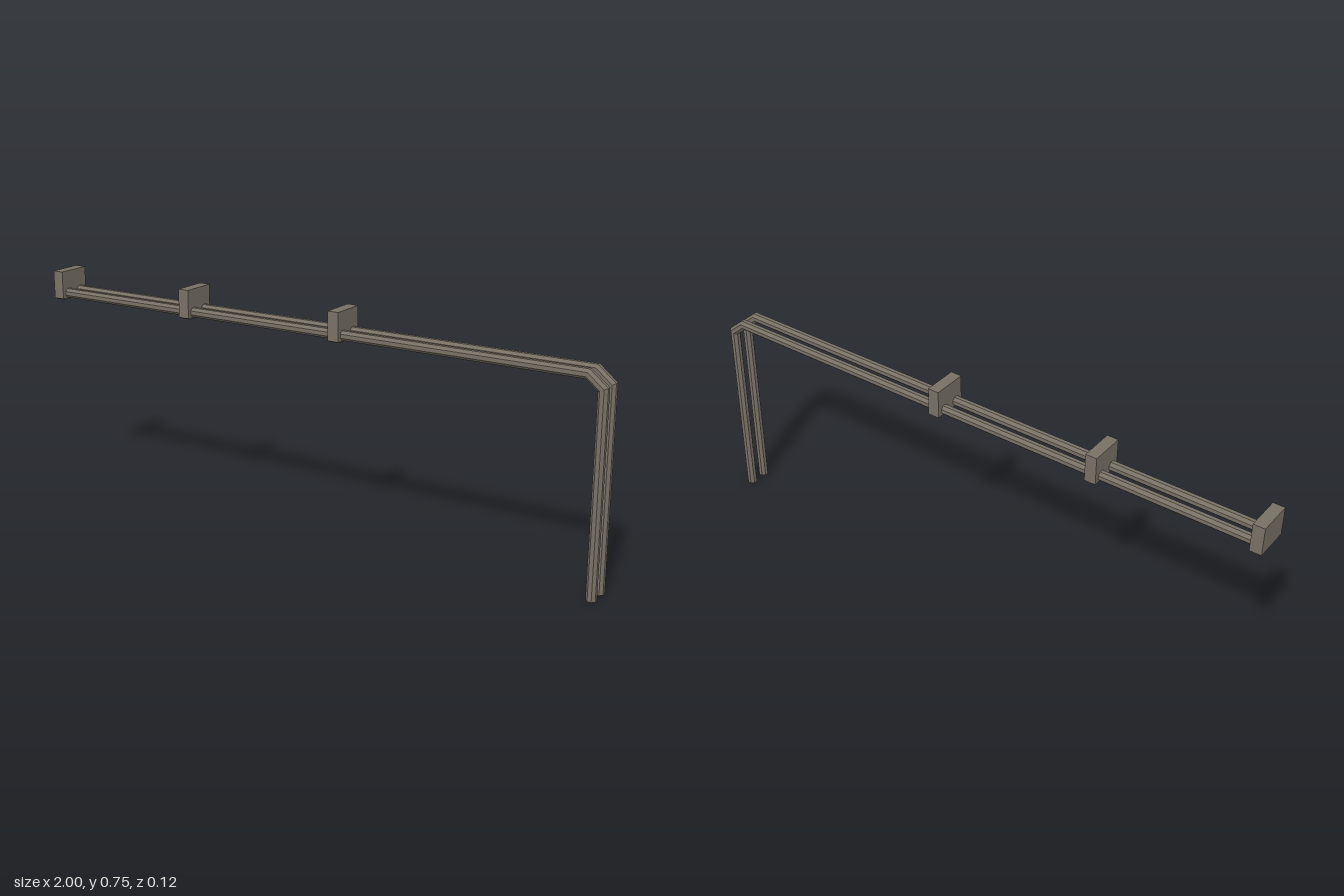
import * as THREE from 'three';

const SIDES = 8;
const RADIUS = 0.0165;

// Eight-sided pipe swept along a path in the xy plane, mitred at each bend
function pipeGeometry(path) {
  const rings = path.map((p, i) => {
    const dirIn = p.clone().sub(path[Math.max(i - 1, 0)]).normalize();
    const dirOut = path[Math.min(i + 1, path.length - 1)].clone().sub(p).normalize();
    const t = dirIn.clone().add(dirOut).normalize();
    const inner = i === 0 || i === path.length - 1 ? 1 : t.dot(dirIn);
    const ring = [];
    for (let j = 0; j < SIDES; j++) {
      const a = ((j + 0.5) / SIDES) * Math.PI * 2;
      const n = (RADIUS * Math.cos(a)) / inner;
      ring.push([p.x - t.y * n, p.y + t.x * n, RADIUS * Math.sin(a)]);
    }
    return ring;
  });
  const pos = [];
  const tri = (a, b, c) => pos.push(...a, ...b, ...c);
  const last = rings.length - 1;
  const start = [path[0].x, path[0].y, 0];
  const end = [path[last].x, path[last].y, 0];
  for (let j = 0; j < SIDES; j++) {
    const k = (j + 1) % SIDES;
    for (let i = 0; i < last; i++) {
      tri(rings[i][j], rings[i][k], rings[i + 1][k]);
      tri(rings[i][j], rings[i + 1][k], rings[i + 1][j]);
    }
    tri(start, rings[0][k], rings[0][j]);
    tri(end, rings[last][j], rings[last][k]);
  }
  const g = new THREE.BufferGeometry();
  g.setAttribute('position', new THREE.Float32BufferAttribute(pos, 3));
  g.computeVertexNormals();
  return g;
}

// Block whose underside is bevelled inwards
function bracketGeometry() {
  const g = new THREE.BoxGeometry(0.038, 0.1, 0.116, 1, 2, 1).toNonIndexed();
  const p = g.attributes.position;
  for (let i = 0; i < p.count; i++) {
    const y = p.getY(i);
    if (y < -0.01) {
      p.setXYZ(i, p.getX(i) * 0.75, 0.648, p.getZ(i) * 0.76);
    } else {
      p.setY(i, y > 0.01 ? 0.747 : 0.654);
    }
  }
  g.computeVertexNormals();
  return g;
}

export function createModel() {
  const model = new THREE.Group();
  model.name = 'pipeRun';
  const metal = new THREE.MeshStandardMaterial({ color: 0x787165 });
  metal.name = 'dull grey brown metal';

  // Twin pipes: a long level run, a bevelled elbow and a drop to the ground
  const path = [[-0.99, 0.671], [0.936, 0.671], [0.983, 0.632], [0.983, 0]]
    .map(([x, y]) => new THREE.Vector2(x, y));
  const pipe = pipeGeometry(path);
  [['frontPipe', 0.03], ['backPipe', -0.028]].forEach(([name, z]) => {
    const mesh = new THREE.Mesh(pipe, metal);
    mesh.name = name;
    mesh.position.z = z;
    model.add(mesh);
  });

  // Hanging brackets along the level run
  const bracket = bracketGeometry();
  [['endBracket', -0.981], ['middleBracket', -0.447], ['innerBracket', 0.12]].forEach(([name, x]) => {
    const mesh = new THREE.Mesh(bracket, metal);
    mesh.name = name;
    mesh.position.x = x;
    model.add(mesh);
  });

  return model;
}
